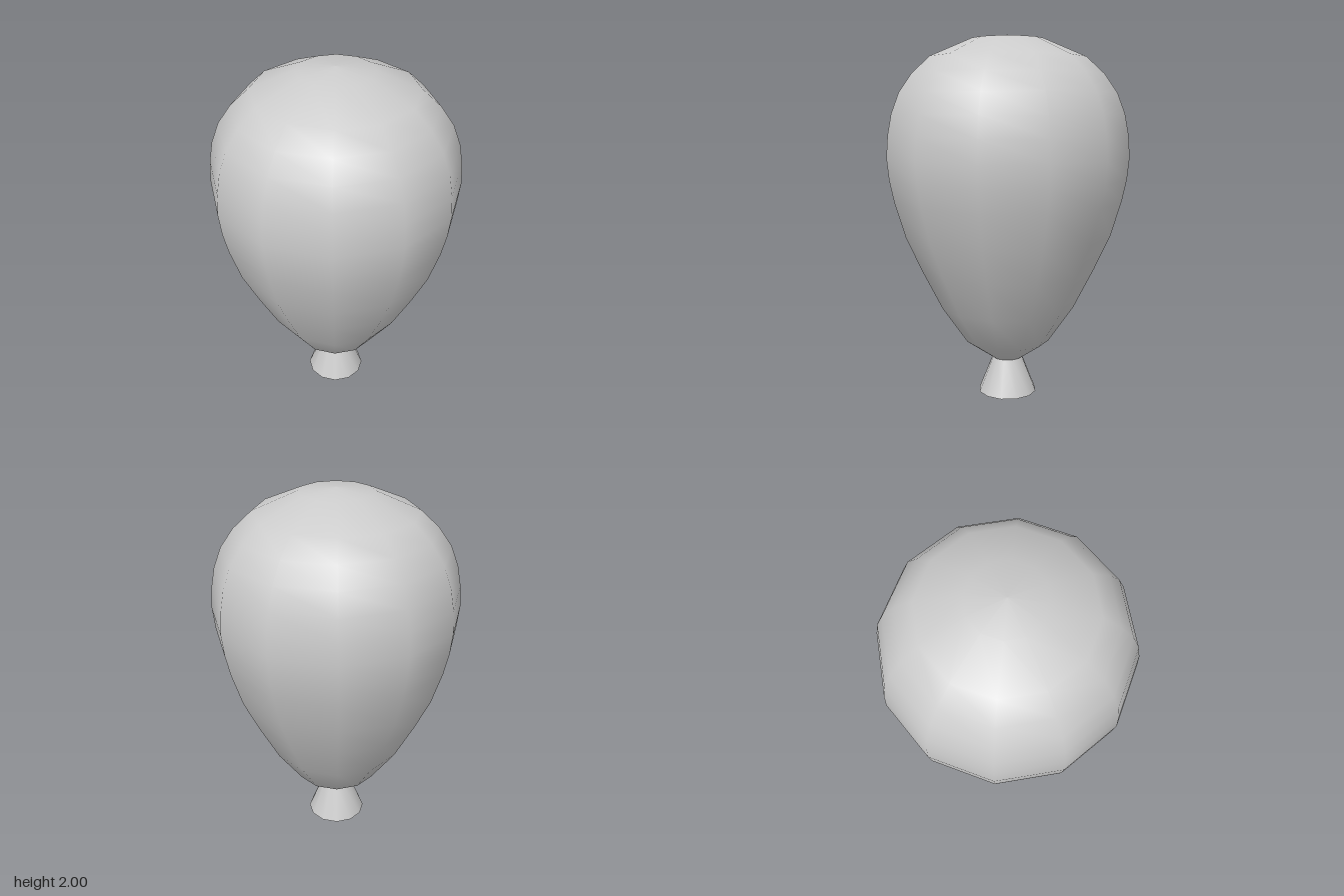
import * as THREE from 'three';

const SIDES = 12;

// Turns a [radius, height] profile, listed from bottom to top
function turned(name, profile) {
  const points = profile.map(([r, y]) => new THREE.Vector2(r, y));
  const material = new THREE.MeshStandardMaterial({ color: 0xcccccc, side: THREE.DoubleSide });
  const mesh = new THREE.Mesh(new THREE.LatheGeometry(points, SIDES), material);
  mesh.name = name;
  return mesh;
}

export function createModel() {
  const group = new THREE.Group();
  group.name = 'balloon';

  // Inflated body, from the pinch up to the crown
  group.add(turned('body', [
    [0.085, 0.2], [0.237, 0.305], [0.377, 0.51], [0.487, 0.73], [0.573, 0.92],
    [0.63, 1.11], [0.655, 1.23], [0.667, 1.35], [0.658, 1.47], [0.637, 1.58],
    [0.595, 1.69], [0.525, 1.79], [0.428, 1.88], [0.196, 1.98], [0, 2],
  ]));

  // Open flared mouth below the pinch
  group.add(turned('mouth', [[0.165, 0], [0.085, 0.2]]));

  return group;
}
